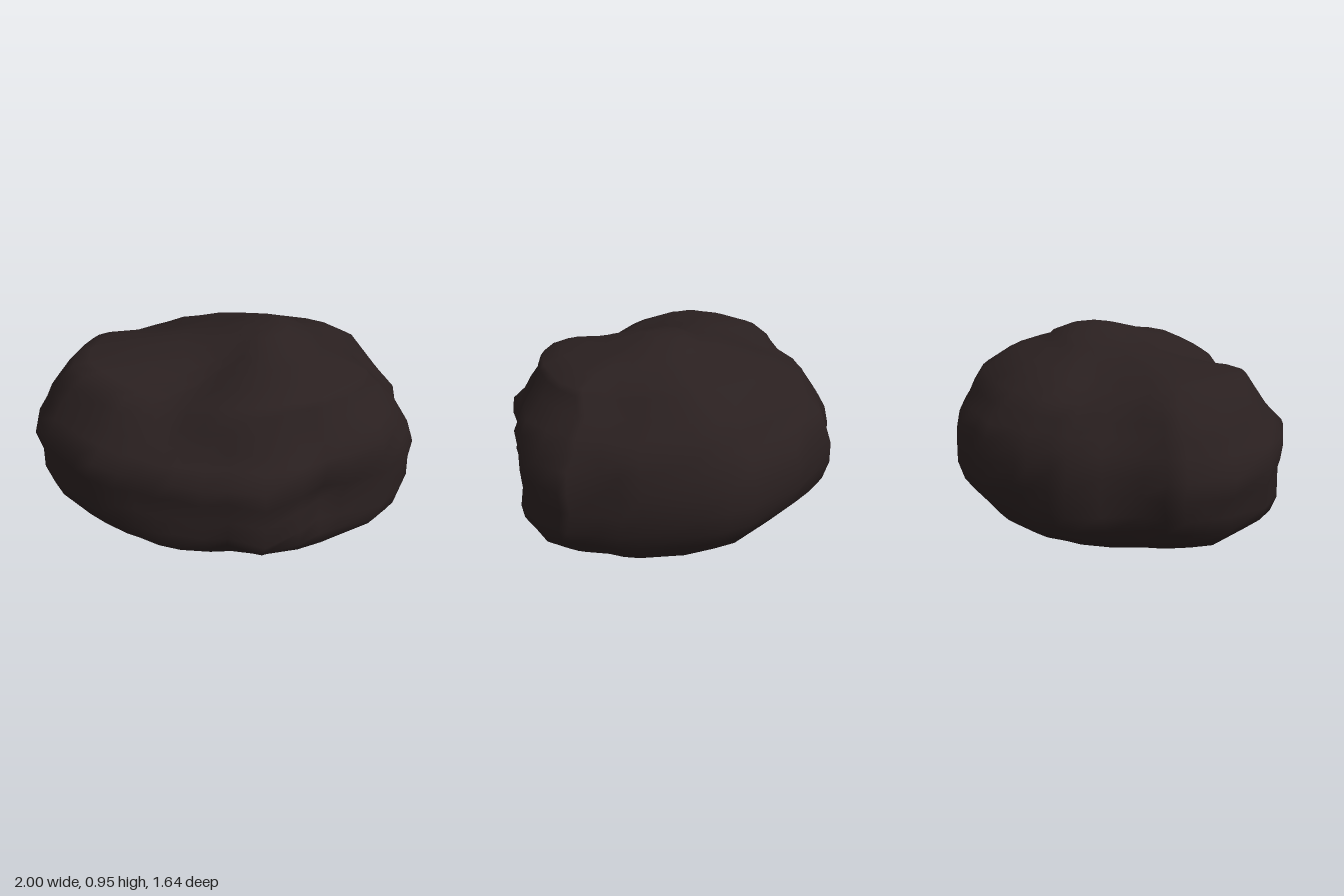
import * as THREE from 'three';

// Widest outline seen from above: x, z pairs
const OUTLINE = [
  1, 0, .98, .15, .9, .32, .75, .49, .65, .55, .55, .66, .39, .8, .2, .78, .08, .82, -.08, .8,
  -.16, .81, -.27, .78, -.37, .78, -.52, .72, -.6, .65, -.79, .49, -.92, .37, -1, .14, -.97, 0,
  -.96, -.1, -.92, -.18, -.8, -.24, -.71, -.41, -.64, -.56, -.53, -.6, -.46, -.7, -.36, -.72,
  -.21, -.82, -.02, -.805, .16, -.83, .45, -.74, .56, -.67, .7, -.59, .83, -.36, .89, -.28,
  .9, -.18, .99, -.05,
];

// Horizontal slices: y, xMin, xMax, zMin, zMax
const SLICES = [
  [0, -.8, .84, -.62, .65],
  [.04, -.85, .9, -.68, .72],
  [.1, -.92, .94, -.74, .79],
  [.18, -.96, .98, -.8, .815],
  [.28, -.97, .985, -.825, .81],
  [.38, -1, 1, -.82, .81],
  [.48, -.94, .97, -.8, .83],
  [.55, -.9, .94, -.755, .77],
  [.62, -.86, .9, -.7, .725],
  [.7, -.81, .81, -.65, .68],
  [.77, -.75, .75, -.52, .64],
  [.8, -.67, .73, -.45, .59],
  [.84, -.42, .63, -.34, .47],
  [.87, -.22, .51, -.27, .34],
  [.9, -.03, .43, -.24, .25],
  [.94, .06, .32, -.16, .11],
];

// Hollows (positive depth) and bulges (negative): x, y, z, radius, depth
const DENTS = [
  [.2, .08, .78, .12, .045],
  [.66, .26, .54, .21, .075],
  [.6, .04, .5, .15, -.025],
  [.72, .72, -.15, .16, .035],
  [.02, .88, .25, .17, .035],
  [.38, .83, .45, .19, -.04],
  [-.15, .78, .5, .27, .115],
  [-.7, .58, .5, .24, -.06],
  [-.5, .77, -.34, .25, .095],
  [.48, .75, -.42, .24, -.045],
  [-.45, .3, -.7, .2, .025],
  [-.78, .12, -.3, .2, .035],
  [.25, .1, -.76, .17, .03],
];

function pushDents(p) {
  const inward = new THREE.Vector3(-p.x, .4 - p.y, -p.z).normalize();
  let push = 0;
  for (const [x, y, z, r, depth] of DENTS) {
    const d2 = (p.x - x) ** 2 + (p.y - y) ** 2 + (p.z - z) ** 2;
    push += depth * Math.exp(-d2 / (r * r));
  }
  const floor = p.y === 0;
  p.addScaledVector(inward, push);
  p.y = floor ? 0 : Math.max(p.y, .01);
  return p;
}

// One ring of points around a slice, roughest near the widest height
function makeRing([y, x0, x1, z0, z1]) {
  const ring = [];
  const rough = Math.max(.15, 1 - Math.abs(y - .35) * 2);
  const ripple = y > .25 && y < .5 ? 0 : 1;
  for (let i = 0; i < OUTLINE.length; i += 2) {
    const ux = OUTLINE[i], uz = OUTLINE[i + 1] / .825;
    const a = Math.atan2(uz, ux);
    const wobble = .014 * Math.sin(5 * a + 9 * y) + .012 * Math.sin(9 * a - 14 * y);
    const r = THREE.MathUtils.lerp(1, Math.hypot(ux, uz), rough) * (1 + wobble * ripple);
    ring.push(pushDents(new THREE.Vector3(
      (x0 + x1) / 2 + Math.cos(a) * r * (x1 - x0) / 2, y,
      (z0 + z1) / 2 + Math.sin(a) * r * (z1 - z0) / 2)));
  }
  return ring;
}

export function createModel() {
  const stone = new THREE.MeshStandardMaterial({ color: 0x2a2020 });
  stone.name = 'dark brown stone';
  const group = new THREE.Group();
  group.name = 'boulder';

  // Lofted sides
  const rings = SLICES.map(makeRing);
  const n = rings[0].length;
  const points = rings.flat();
  const index = [];
  for (let k = 0; k < rings.length - 1; k++) {
    for (let i = 0; i < n; i++) {
      const a = k * n + i, b = k * n + (i + 1) % n;
      index.push(a, a + n, b, b, a + n, b + n);
    }
  }

  // Summit and flat underside, sharing the smooth normals of the sides
  const summit = points.length, base = summit + 1, last = summit - n;
  points.push(new THREE.Vector3(.24, .955, -.01), new THREE.Vector3(0, 0, 0));
  for (let i = 0; i < n; i++) {
    const j = (i + 1) % n;
    index.push(summit, last + j, last + i, base, i, j);
  }

  const geometry = new THREE.BufferGeometry().setFromPoints(points);
  geometry.setIndex(index);
  geometry.computeVertexNormals();
  const body = new THREE.Mesh(geometry, stone);
  body.name = 'rockBody';
  group.add(body);
  return group;
}
